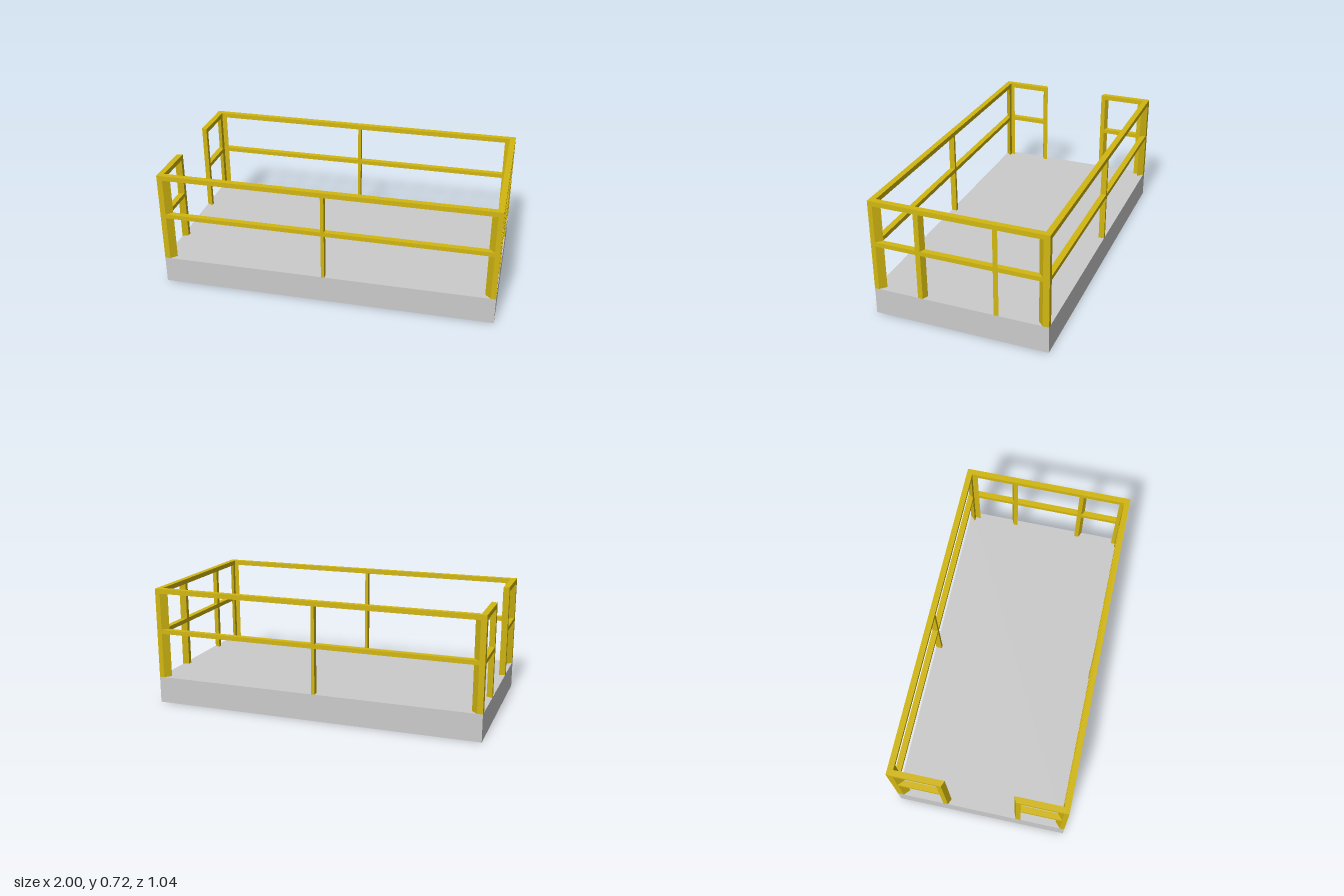
import * as THREE from 'three';

const W = 1, D = 0.52;            // half width and half depth
const DECK = 0.163, RECESS = 0.08, RIM = 0.05;
const TOP = 0.717, TOP_RAIL = 0.688, MID = [0.439, 0.465];
const T = 0.035;                  // railing thickness

const grey = new THREE.MeshStandardMaterial({ color: 0xcccccc });
const yellow = new THREE.MeshStandardMaterial({ color: 0xd2b711 });

function rect(Type, x0, y0, x1, y1) {
  const p = new Type();
  p.moveTo(x0, y0).lineTo(x1, y0).lineTo(x1, y1).lineTo(x0, y1);
  p.closePath();
  return p;
}

// One railing panel: posts are [start, end] spans along the wall. The inner
// face is scaled toward the centre so that the corners meet in a mitre.
function railing(name, posts, half, dist, angle) {
  const last = posts.length - 1;
  const shape = new THREE.Shape();
  shape.moveTo(posts[last][1], TOP);
  shape.lineTo(posts[0][0], TOP);
  posts.forEach(([a, b], i) => {
    if (i > 0) shape.lineTo(a, MID[0]);
    shape.lineTo(a, DECK);
    shape.lineTo(b, DECK);
    if (i < last) {
      shape.lineTo(b, MID[0]);
      shape.holes.push(rect(THREE.Path, b, MID[1], posts[i + 1][0], TOP_RAIL));
    }
  });
  shape.closePath();

  const geo = new THREE.ExtrudeGeometry(shape, { depth: T, bevelEnabled: false });
  const pos = geo.attributes.position;
  for (let i = 0; i < pos.count; i++) {
    const inward = T - pos.getZ(i);
    pos.setX(i, pos.getX(i) * (1 - inward / half));
  }
  geo.translate(0, 0, dist - T);
  geo.rotateY(angle);
  geo.computeVertexNormals();
  const mesh = new THREE.Mesh(geo, yellow);
  mesh.name = name;
  return mesh;
}

export function createModel() {
  const group = new THREE.Group();
  group.name = 'railedPlatform';

  // Deck slab
  const deck = new THREE.Mesh(new THREE.BoxGeometry(2 * W, DECK - RECESS, 2 * D), grey);
  deck.position.y = (DECK + RECESS) / 2;
  deck.name = 'deck';
  group.add(deck);

  // Rim around the recessed underside
  const ring = rect(THREE.Shape, -W, -D, W, D);
  ring.holes.push(rect(THREE.Path, -W + RIM, -D + RIM, W - RIM, D - RIM));
  const rimGeo = new THREE.ExtrudeGeometry(ring, { depth: RECESS, bevelEnabled: false });
  rimGeo.rotateX(-Math.PI / 2);
  const rim = new THREE.Mesh(rimGeo, grey);
  rim.name = 'baseRim';
  group.add(rim);

  // Railings, with an entrance gap in the right end
  const q = Math.PI / 2;
  group.add(
    railing('frontRailing', [[-W, -0.967], [-0.02, 0], [0.97, W]], W, D, 0),
    railing('backRailing', [[-W, -0.97], [0, 0.02], [0.967, W]], W, D, Math.PI),
    railing('leftRailing', [[-D, -0.493], [-0.249, -0.22], [0.204, 0.233], [0.483, D]], D, W, q),
    railing('rightRailingBack', [[-D, -0.483], [-0.233, -0.204]], D, W, -q),
    railing('rightRailingFront', [[0.22, 0.249], [0.493, D]], D, W, -q),
  );
  return group;
}
